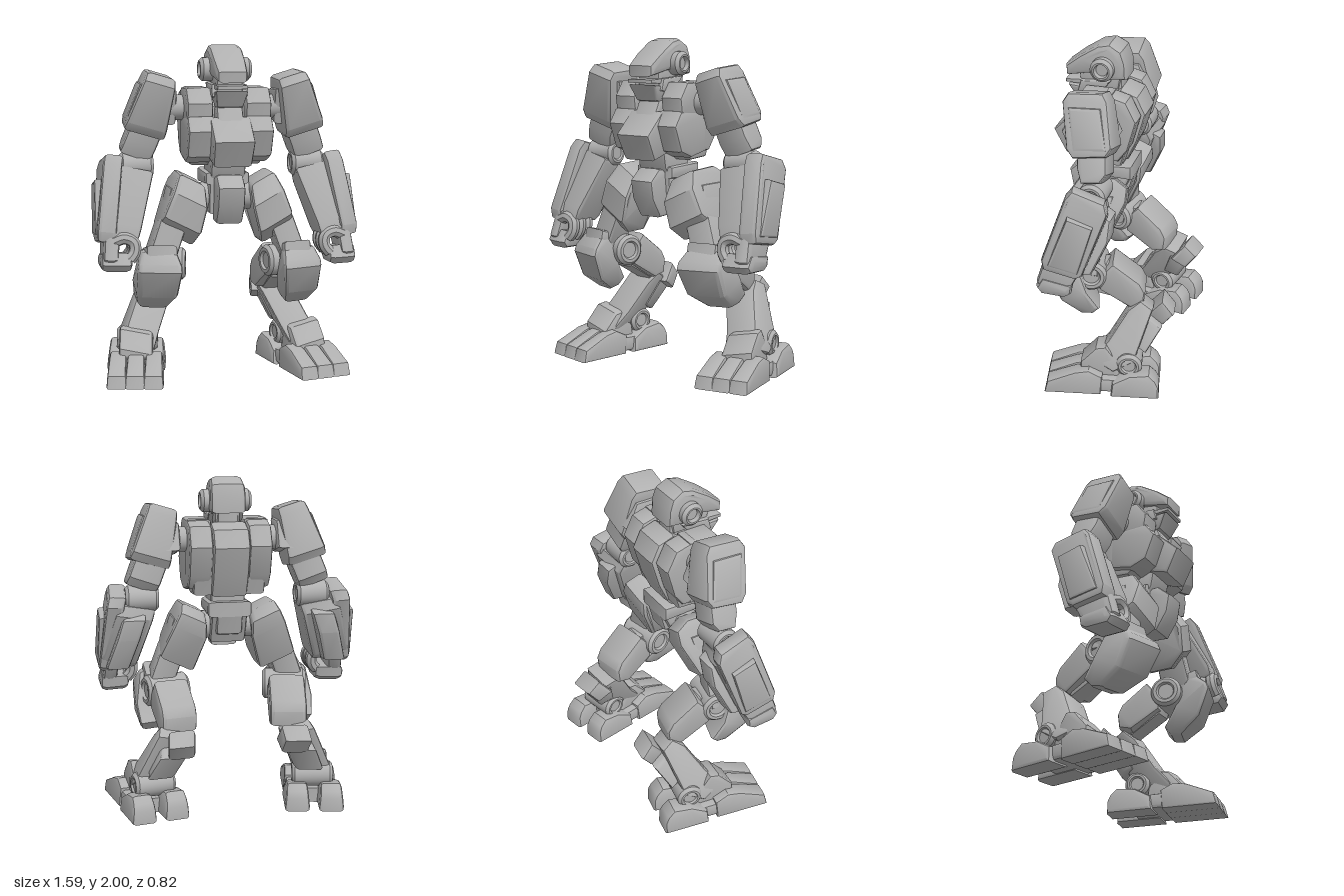
import * as THREE from 'three';
import { toCreasedNormals } from 'three/addons/utils/BufferGeometryUtils.js';

const grey = new THREE.MeshStandardMaterial({ color: 0xb0b0b0 });
grey.name = 'armourGrey';

export function createModel() {
  const root = new THREE.Group();
  root.name = 'walkingRobot';
  const val = (f, y, z) => (typeof f === 'function' ? f(y, z) : f);

  function add(name, geo, parent) {
    const mesh = new THREE.Mesh(toCreasedNormals(geo, 0.6), grey);
    mesh.name = name;
    parent.add(mesh);
    return mesh;
  }

  // Bevelled slab: side profile of [z, y] points; centre x and width may vary with (y, z).
  // s mirrors the part, tilt raises its outer side, yaw moves its outer side back.
  function slab(parent, name, profile, x, w, { s = 1, bevel = 0.022, tilt = 0, yaw = 0 } = {}) {
    const shape = new THREE.Shape(profile.map(([z, y]) => new THREE.Vector2(z, y)));
    const depth = 0.2 - 2 * bevel;
    const geo = new THREE.ExtrudeGeometry(shape, {
      depth, bevelEnabled: true, bevelThickness: bevel, bevelSize: bevel,
      bevelOffset: -bevel, bevelSegments: 2,
    });
    geo.translate(0, 0, -depth / 2);
    geo.rotateY(-Math.PI / 2);
    const p = geo.attributes.position;
    for (let i = 0; i < p.count; i++) {
      const y = p.getY(i), z = p.getZ(i), width = val(w, y, z);
      // keep bevels even when the slab is widened or narrowed
      const px = p.getX(i), edge = Math.min(width / 2, Math.max(0.1 - Math.abs(px), 0));
      const off = Math.sign(px) * (width / 2 - edge);
      p.setXYZ(i, s * val(x, y, z) + off, y + tilt * s * off, z - yaw * s * off);
    }
    geo.computeVertexNormals();
    return add(name, geo, parent);
  }

  // Chamfered joint disc on the x axis, optionally dished on both faces
  function disc(parent, name, r, len, x, y, z, dish = 0) {
    const h = len / 2, c = Math.min(0.018, h * 0.6);
    const pts = [[0, -h + dish], [r * 0.5, -h + dish], [r * 0.6, -h], [r - c, -h], [r, -h + c],
      [r, h - c], [r - c, h], [r * 0.6, h], [r * 0.5, h - dish], [0, h - dish]];
    const geo = new THREE.LatheGeometry(pts.map(([a, b]) => new THREE.Vector2(a, b)), 28);
    geo.rotateZ(Math.PI / 2);
    geo.translate(x, y, z);
    return add(name, geo, parent);
  }

  const group = (name) => {
    const g = new THREE.Group();
    g.name = name;
    root.add(g);
    return g;
  };

  // Head
  const head = group('head');
  slab(head, 'helmet', [[0.34, 1.845], [0.335, 1.78], [0.17, 1.815], [0.1, 1.78], [-0.03, 1.79],
    [-0.025, 1.89], [0.0, 1.96], [0.07, 2.0], [0.14, 1.985], [0.25, 1.915]],
  0, (y, z) => 0.215 - Math.max(0, z - 0.12) * 0.16 - Math.max(0, y - 1.93) * 0.3, { bevel: 0.03 });
  disc(head, 'earRing', 0.07, 0.31, 0, 1.855, 0.105, 0.025);
  slab(head, 'innerFace', [[0.26, 1.82], [0.25, 1.72], [0.02, 1.72], [0.0, 1.84], [0.15, 1.86]], 0, 0.16);
  slab(head, 'upperJaw', [[0.335, 1.765], [0.335, 1.745], [0.14, 1.735], [0.14, 1.775]], 0, 0.18, { bevel: 0.006 });
  slab(head, 'chin', [[0.32, 1.735], [0.27, 1.64], [0.2, 1.62], [0.14, 1.72]], 0, (y) => 0.15 + (y - 1.62) * 0.4, { bevel: 0.015 });
  for (const s of [1, -1]) {
    slab(head, 'jawSide', [[0.24, 1.77], [0.26, 1.7], [0.14, 1.68], [0.06, 1.78]], 0.09, 0.035, { s, bevel: 0.01 });
  }
  slab(head, 'neck', [[0.2, 1.8], [0.22, 1.58], [0.0, 1.55], [0.0, 1.8]], 0, 0.13);

  // Torso
  const torso = group('torso');
  slab(torso, 'chestCore', [[0.2, 1.64], [0.22, 1.36], [0.12, 1.29], [-0.03, 1.3], [-0.11, 1.56], [-0.05, 1.7], [0.05, 1.7]], 0, 0.44);
  slab(torso, 'chestPlate', [[0.27, 1.58], [0.41, 1.445], [0.335, 1.295], [0.18, 1.34], [0.16, 1.52]],
    0, (y) => 0.245 - Math.max(0, 1.36 - y) * 0.2);
  slab(torso, 'collarPlate', [[0.24, 1.66], [0.29, 1.56], [0.1, 1.5], [0.1, 1.64]], 0, 0.16);
  slab(torso, 'backPlate', [[0.0, 1.735], [-0.1, 1.7], [-0.15, 1.595], [-0.1, 1.42], [-0.04, 1.29], [0.06, 1.3], [0.05, 1.7]], 0, 0.22);
  for (const s of [1, -1]) {
    slab(torso, 'upperChest', [[0.2, 1.75], [0.265, 1.66], [0.25, 1.56], [0.0, 1.55], [0.02, 1.75]], 0.175, 0.155, { s });
    slab(torso, 'lowerChest', [[0.26, 1.585], [0.32, 1.5], [0.26, 1.35], [0.16, 1.31], [0.02, 1.34], [0.02, 1.58]], 0.17, 0.17, { s });
    slab(torso, 'sideBack', [[0.06, 1.755], [-0.07, 1.72], [-0.13, 1.6], [-0.08, 1.42], [-0.02, 1.34], [0.08, 1.34]], 0.18, 0.14, { s });
    disc(torso, 'shoulderJoint', 0.075, 0.2, s * 0.3, 1.63, 0.07);
  }

  // Waist and hips
  const hips = group('hips');
  slab(hips, 'waist', [[0.24, 1.35], [0.22, 1.24], [0.16, 1.16], [-0.01, 1.16], [-0.01, 1.34]], 0, 0.21);
  slab(hips, 'belt', [[0.2, 1.25], [0.2, 1.18], [-0.07, 1.17], [-0.07, 1.26]], 0, 0.27);
  slab(hips, 'pelvis', [[0.2, 1.2], [0.18, 1.0], [0.02, 1.0], [-0.06, 1.18]], 0, 0.22);
  slab(hips, 'crotchPlate', [[0.25, 1.24], [0.33, 1.17], [0.31, 1.06], [0.24, 0.95], [0.14, 0.955], [0.14, 1.23]],
    0, 0.165);
  slab(hips, 'rearPlate', [[-0.02, 1.2], [-0.07, 1.17], [-0.04, 1.06], [0.03, 1.04], [0.03, 1.2]], 0, 0.16);
  disc(hips, 'hipAxle', 0.085, 0.44, 0, 1.1, 0.09);

  for (const s of [1, -1]) {
    const side = s > 0 ? 'left' : 'right';

    // Arm
    const arm = group(side + 'Arm');
    const shX = (y) => 0.39 + (1.82 - y) * 0.29;
    slab(arm, 'shoulderArmour', [[0.2, 1.82], [0.0, 1.835], [-0.03, 1.79], [-0.08, 1.55], [-0.05, 1.5], [0.14, 1.475], [0.18, 1.52], [0.23, 1.77]],
      shX, (y) => 0.17 + (1.83 - y) * 0.22, { s, tilt: 0.3, bevel: 0.025 });
    slab(arm, 'shoulderPanel', [[0.19, 1.77], [0.0, 1.78], [-0.055, 1.56], [0.14, 1.54]],
      (y) => shX(y) + 0.08 + (1.83 - y) * 0.08, 0.06, { s, tilt: 0.3, bevel: 0.02 });
    slab(arm, 'shoulderInner', [[0.17, 1.74], [0.0, 1.74], [-0.07, 1.58], [0.12, 1.53]], 0.36, 0.13, { s });
    const upX = (y) => 0.485 + (1.47 - y) * 0.4;
    slab(arm, 'upperArm', [[0.13, 1.56], [-0.04, 1.55], [-0.055, 1.4], [-0.02, 1.35], [0.09, 1.34], [0.12, 1.42]],
      upX, 0.185, { s, tilt: 0.35 });
    disc(arm, 'elbow', 0.08, 0.2, s * 0.525, 1.285, 0.03, 0.01);
    const foX = (y) => 0.555 + (1.25 - y) * 0.31;
    slab(arm, 'forearm', [[0.12, 1.28], [-0.04, 1.24], [-0.06, 1.18], [0.04, 0.9], [0.08, 0.87], [0.28, 0.9], [0.27, 0.97]],
      foX, 0.23, { s, tilt: 0.2, yaw: 0.2 });
    slab(arm, 'outerForearmPlate', [[0.12, 1.36], [-0.07, 1.31], [-0.09, 1.25], [0.05, 0.86], [0.09, 0.835], [0.28, 0.87], [0.29, 0.93], [0.16, 1.31]],
      (y) => 0.665 + Math.min(0.065, (1.35 - y) * 0.25), 0.11, { s, tilt: 0.1, yaw: 0.2 });
    slab(arm, 'outerRidge', [[0.13, 1.22], [-0.02, 1.18], [0.07, 0.88], [0.25, 0.91]],
      (y) => 0.745 + (1.2 - y) * 0.03, 0.08, { s, bevel: 0.016, yaw: 0.2 });
    slab(arm, 'rearForearmPlate', [[0.0, 1.22], [-0.09, 1.17], [-0.085, 1.05], [0.0, 0.86], [0.08, 0.85]],
      foX, 0.14, { s });

    // Fist
    const hand = group(side + 'Hand');
    slab(hand, 'palm', [[0.28, 0.93], [0.09, 0.88], [0.08, 0.84], [0.14, 0.73], [0.17, 0.71], [0.3, 0.73], [0.33, 0.77]],
      (y) => 0.7 + (0.9 - y) * 0.1, 0.09, { s, bevel: 0.03, yaw: 0.2 });
    slab(hand, 'curledFingers', [[0.3, 0.81], [0.12, 0.785], [0.13, 0.72], [0.17, 0.695], [0.31, 0.7], [0.34, 0.74]],
      0.68, 0.18, { s, bevel: 0.035, yaw: 0.2 });
    for (let i = 0; i < 3; i++) {
      const z = 0.15 + i * 0.06;
      const path = new THREE.CatmullRomCurve3([[0.69, 0.87], [0.63, 0.89], [0.577, 0.865], [0.573, 0.81], [0.605, 0.765]]
        .map(([a, b], j) => new THREE.Vector3(s * a, b, z + j * 0.008)));
      add('finger', new THREE.TubeGeometry(path, 16, 0.036, 8), hand);
    }

    // Thigh
    const leg = group(side + 'Leg');
    const thX = (y) => 0.215 + (1.2 - y) * 0.21 + Math.max(0, 1.05 - y) * 0.17;
    slab(leg, 'thighArmour', [[0.21, 1.21], [0.0, 1.22], [-0.08, 1.17], [-0.075, 1.08], [0.02, 0.87], [0.17, 0.87], [0.27, 0.95], [0.28, 1.1]],
      thX, (y) => 0.155 + Math.min(0.06, Math.max(0, 1.2 - y) * 0.4), { s, tilt: 0.5, yaw: 0.2, bevel: 0.024 });
    slab(leg, 'thighSidePlate', [[0.17, 1.16], [-0.02, 1.16], [0.03, 0.95], [0.2, 0.97]],
      (y) => thX(y) + 0.09, 0.05, { s, bevel: 0.018 });
    slab(leg, 'lowerThigh', [[0.22, 0.98], [0.04, 0.94], [0.05, 0.68], [0.25, 0.68]],
      (y) => 0.35 + (0.9 - y) * 0.35, 0.15, { s, tilt: 0.3, yaw: 0.25 });

    // Knee
    slab(leg, 'kneeArmour', [[0.27, 0.8], [0.34, 0.735], [0.355, 0.69], [0.28, 0.53], [0.15, 0.445], [0.08, 0.46], [0.04, 0.51], [0.12, 0.62], [0.19, 0.8]],
      (y) => 0.435 + (0.6 - y) * 0.05,
      (y) => 0.25 - Math.max(0, 0.57 - y) * 0.7 - Math.max(0, y - 0.72) * 0.6, { s, bevel: 0.024, yaw: 0.32 });
    slab(leg, 'kneeBrace', [[0.28, 0.84], [0.3, 0.75], [0.12, 0.66], [0.1, 0.8]], 0.41, 0.18, { s, yaw: 0.25 });
    disc(leg, 'kneeJoint', 0.095, 0.27, 0, 0.7, 0, 0.015).rotation.y = s * 0.22;
    leg.children.at(-1).position.set(s * 0.375, 0, 0.1);

    // Shank
    slab(leg, 'upperShank', [[-0.03, 0.785], [-0.19, 0.66], [-0.22, 0.6], [-0.21, 0.51], [-0.13, 0.49], [0.05, 0.6], [0.06, 0.68]],
      (y, z) => 0.365 + z * 0.15, 0.22, { s, bevel: 0.026, yaw: 0.2 });
    slab(leg, 'shankLink', [[0.1, 0.74], [0.06, 0.58], [-0.14, 0.47], [-0.18, 0.58], [0.0, 0.76]], 0.36, 0.13, { s });
    const caX = (y) => 0.375 + (0.5 - y) * 0.46;
    slab(leg, 'calf', [[-0.13, 0.47], [-0.2, 0.53], [-0.28, 0.49], [-0.2, 0.19], [-0.08, 0.12], [0.05, 0.17], [0.045, 0.2], [-0.03, 0.29]],
      caX, 0.19, { s, tilt: 0.25, yaw: 0.2 });
    slab(leg, 'heelSpur', [[-0.33, 0.55], [-0.405, 0.47], [-0.335, 0.38], [-0.24, 0.44]],
      (y, z) => 0.345 - (z + 0.35) * 0.15, 0.165, { s, yaw: 0.15 });
    slab(leg, 'calfRearPlate', [[-0.23, 0.45], [-0.34, 0.39], [-0.26, 0.24], [-0.17, 0.28]],
      (y) => caX(y) - 0.035, 0.17, { s, yaw: 0.15 });

    // Foot, turned outwards
    const foot = group(side + 'Foot');
    const yaw = 0.2;
    const ftX = (off) => (y, z) => 0.525 + off + z * 0.18;
    const shift = (profile, off) => profile.map(([z, y]) => [z - yaw * off, y]);
    disc(foot, 'ankleJoint', 0.078, 0.25, 0, 0.185, 0, 0.012).rotation.y = s * 0.2;
    foot.children[0].position.set(s * 0.495, 0, -0.165);
    slab(foot, 'instep', [[0.03, 0.27], [0.12, 0.17], [0.13, 0.05], [-0.12, 0.05], [-0.1, 0.18], [-0.03, 0.28]],
      ftX(0), 0.2, { s, tilt: 0.2, yaw });
    slab(foot, 'sole', [[0.16, 0.11], [0.2, 0.01], [-0.2, 0.01], [-0.2, 0.1]], ftX(0), 0.3, { s, yaw });
    for (let i = -1; i <= 1; i++) {
      slab(foot, 'toe', shift([[0.315, 0.075], [0.333, 0], [0.0, 0], [-0.01, 0.12], [0.07, 0.16], [0.15, 0.145]], i * 0.11),
        ftX(i * 0.11), (y) => 0.118 - y * 0.15, { s, bevel: 0.014, yaw });
    }
    for (const off of [-0.1, 0.11]) {
      slab(foot, 'heel', shift([[-0.17, 0.145], [-0.285, 0.16], [-0.325, 0.12], [-0.343, 0.08], [-0.343, 0], [-0.06, 0], [-0.07, 0.09]], off),
        ftX(off), (y) => 0.155 - y * 0.2, { s, yaw });
    }
  }
  return root;
}
